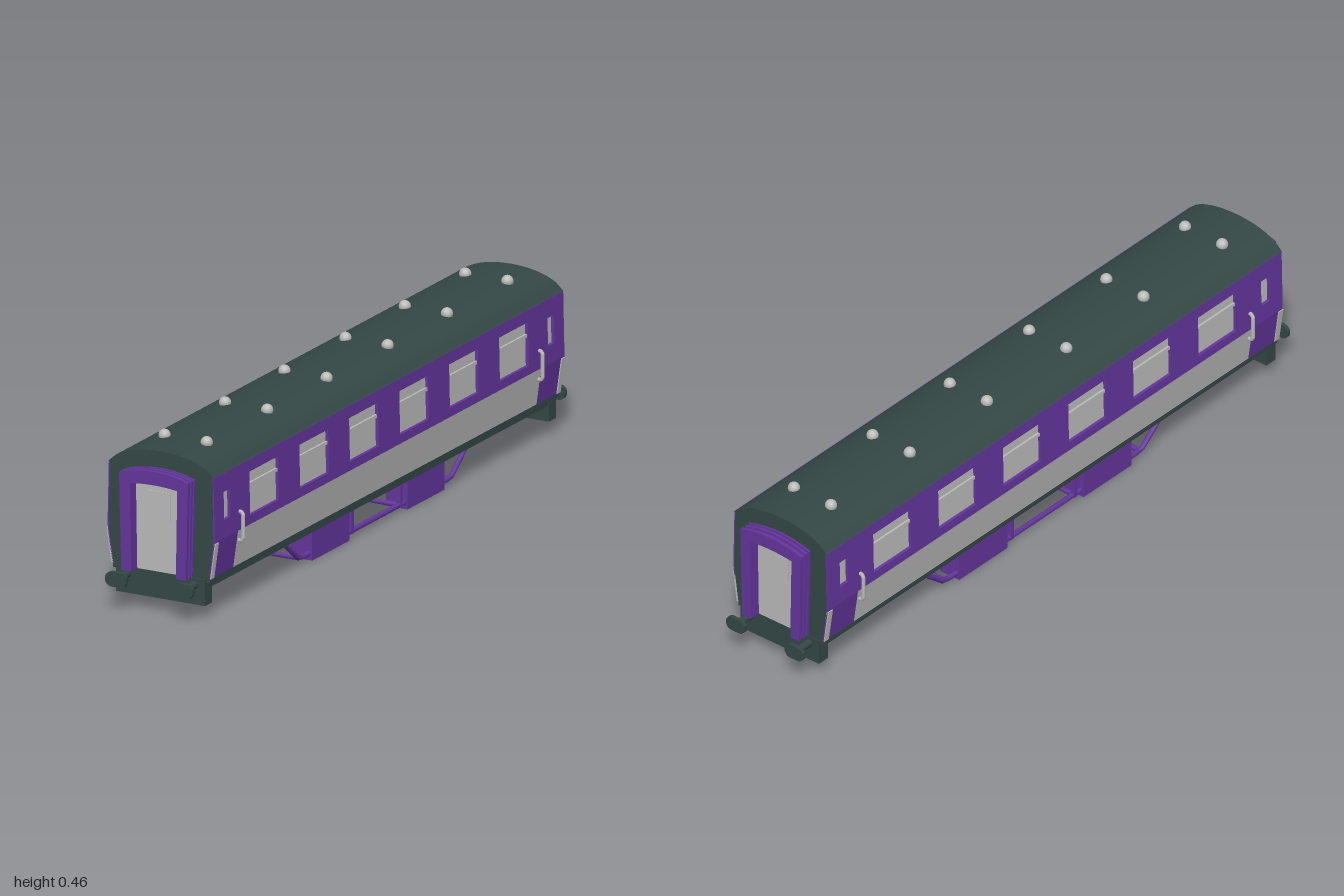
import * as THREE from 'three';
import { toCreasedNormals } from 'three/addons/utils/BufferGeometryUtils.js';

const material = (name, color) => Object.assign(new THREE.MeshStandardMaterial({ color }), { name });

export function createModel() {
  const green = material('dark green', 0x334745);
  const purple = material('purple', 0x63359c);
  const silver = material('silver', 0xbababa);
  const root = new THREE.Group();
  root.name = 'passengerCoach';

  const add = (parent, name, geometry, mat, x = 0, y = 0, z = 0) => {
    const mesh = new THREE.Mesh(geometry, mat);
    mesh.name = name;
    mesh.position.set(x, y, z);
    parent.add(mesh);
    return mesh;
  };
  const box = (parent, name, mat, x0, x1, y0, y1, z0, z1) =>
    add(parent, name, new THREE.BoxGeometry(x1 - x0, y1 - y0, z1 - z0), mat,
      (x0 + x1) / 2, (y0 + y1) / 2, (z0 + z1) / 2);
  const slab = (shape, z0, z1, curveSegments = 12) =>
    new THREE.ExtrudeGeometry(shape, { depth: z1 - z0, bevelEnabled: false, curveSegments }).translate(0, 0, z0);
  // Symmetric polygon from right-hand points listed bottom to top
  const mirrored = pts => new THREE.Shape([
    ...pts.map(([x, y]) => new THREE.Vector2(x, y)),
    ...pts.slice().reverse().map(([x, y]) => new THREE.Vector2(-x, y))]);
  const tube = (parent, name, mat, pts, r) => {
    const path = new THREE.CurvePath();
    const v = pts.map(p => new THREE.Vector3(...p));
    for (let i = 1; i < v.length; i++) path.add(new THREE.LineCurve3(v[i - 1], v[i]));
    return add(parent, name, new THREE.TubeGeometry(path, 40, r, 8), mat);
  };

  // Body core and roof
  add(root, 'bodyCore', slab(mirrored([[0.13, 0.11], [0.145, 0.215], [0.143, 0.395]]), -0.92, 0.92), green);
  const roof = new THREE.Shape();
  roof.moveTo(0.16, 0.393);
  roof.lineTo(0.138, 0.413);
  roof.bezierCurveTo(0.1, 0.436, 0.05, 0.444, 0, 0.444);
  roof.bezierCurveTo(-0.05, 0.444, -0.1, 0.436, -0.138, 0.413);
  roof.lineTo(-0.16, 0.393);
  add(root, 'roof', toCreasedNormals(slab(roof, -0.935, 0.935), 0.5), green);
  for (const z of [-0.803, -0.48, -0.163, 0.163, 0.48, 0.803])
    for (const x of [-0.064, 0.064])
      add(root, 'roofVent', new THREE.SphereGeometry(0.0165, 16, 12), silver, x, 0.443, z);

  // Underframe
  box(root, 'floor', green, -0.132, 0.132, 0.08, 0.109, -0.93, 0.93);
  box(root, 'sill', green, -0.147, 0.147, 0.1, 0.113, -0.932, 0.932);

  // Side wall panels follow this half-width
  const halfWidth = y => y < 0.215 ? 0.148 + (y - 0.11) / 0.105 * 0.015 : 0.163 - (y - 0.215) / 0.18 * 0.004;
  const panel = (parent, name, mat, z0, z1, y0, y1, holes = [], proud = 0, depth = 0.014) => {
    const rect = (a, b, c, d, Type) => new Type([[a, c], [b, c], [b, d], [a, d]].map(p => new THREE.Vector2(...p)));
    const shape = rect(-z1, -z0, y0, y1, THREE.Shape);
    for (const [a, b, c, d] of holes) shape.holes.push(rect(-b, -a, c, d, THREE.Path));
    const geo = slab(shape, -depth, 0).rotateY(Math.PI / 2);
    const p = geo.attributes.position;
    for (let i = 0; i < p.count; i++) p.setX(i, p.getX(i) + halfWidth(p.getY(i)) + proud);
    geo.computeVertexNormals();
    return add(parent, name, geo, mat);
  };

  const windows = [0.667, 0.4, 0.134, -0.134, -0.4, -0.667].map(z => [z - 0.077, z + 0.077, 0.24, 0.36]);
  const doorWindows = [-0.865, 0.865].map(z => [z - 0.017, z + 0.017, 0.265, 0.342]);
  for (const turn of [0, Math.PI]) {
    const side = new THREE.Group();
    side.name = turn ? 'rightSide' : 'leftSide';
    side.rotation.y = turn;
    root.add(side);
    panel(side, 'upperWall', purple, -0.934, 0.934, 0.215, 0.395, [...windows, ...doorWindows]);
    panel(side, 'lowerWall', silver, -0.81, 0.81, 0.112, 0.215);
    for (const [a, b, c, d] of [...windows, ...doorWindows])
      panel(side, 'windowPane', silver, a - 0.004, b + 0.004, c - 0.004, d + 0.004, [], -0.009, 0.003);
    for (const [a, b] of windows)
      panel(side, 'windowBar', silver, a, b, 0.318, 0.327, [], -0.003, 0.008);
    for (const s of [-1, 1]) {
      panel(side, 'doorBottom', purple, Math.min(s * 0.81, s * 0.934), Math.max(s * 0.81, s * 0.934), 0.112, 0.215);
      panel(side, 'cornerStrip', silver, s * 0.925 - 0.009, s * 0.925 + 0.009, 0.112, 0.212, [], 0.003, 0.01);
      tube(side, 'doorHandle', silver, [[0.155, 0.186, s * 0.8], [0.168, 0.186, s * 0.8], [0.173, 0.194, s * 0.8],
        [0.173, 0.258, s * 0.8], [0.168, 0.266, s * 0.8], [0.155, 0.266, s * 0.8]], 0.0055);
    }

    // Truss rod and equipment boxes on each side
    tube(side, 'trussRod', purple, [[0.118, 0.085, 0.49], [0.118, 0.018, 0.405],
      [0.118, 0.018, -0.405], [0.118, 0.085, -0.49]], 0.0075);
    for (const s of [-1, 1]) {
      box(side, 'equipmentBox', purple, 0.063, 0.129, 0, 0.085, s * 0.255 - 0.099, s * 0.255 + 0.099);
      box(side, 'trussPost', purple, 0.111, 0.125, 0.012, 0.085, s * 0.13 - 0.006, s * 0.13 + 0.006);
    }
  }
  for (const z of [-0.4, -0.25, -0.13, 0.13, 0.25, 0.4])
    tube(root, 'crossBar', purple, [[-0.118, 0.018, z], [0.118, 0.018, z]], 0.007);

  // Arched frame of the end gangway
  const arch = inset => {
    const s = new THREE.Shape();
    const i = inset;
    s.moveTo(-0.098 + i, 0.112);
    s.lineTo(-0.105 + i, 0.382 - i);
    s.quadraticCurveTo(0, 0.415 - i, 0.105 - i, 0.382 - i);
    s.lineTo(0.098 - i, 0.112);
    s.lineTo(0.068, 0.112);
    s.lineTo(0.072, 0.356);
    s.quadraticCurveTo(0, 0.366, -0.072, 0.356);
    s.lineTo(-0.068, 0.112);
    return s;
  };

  // Identical ends
  for (const turn of [0, Math.PI]) {
    const end = new THREE.Group();
    end.name = turn ? 'backEnd' : 'frontEnd';
    end.rotation.y = turn;
    root.add(end);
    add(end, 'endWall', slab(mirrored([[0.144, 0.11], [0.1585, 0.215], [0.155, 0.394]]), 0.91, 0.935), green);
    add(end, 'gangwayBellows', slab(arch(0.01), 0.934, 0.968), purple);
    for (const [z0, z1] of [[0.934, 0.941], [0.948, 0.956], [0.964, 0.975]])
      add(end, 'gangwayRib', slab(arch(0), z0, z1), purple);
    box(end, 'endDoor', silver, -0.073, 0.073, 0.112, 0.362, 0.93, 0.942);
    box(end, 'endDoorWindow', silver, -0.035, 0.035, 0.257, 0.335, 0.94, 0.945);
    box(end, 'bufferBeam', green, -0.135, 0.135, 0.037, 0.109, 0.9, 0.937);

    // Buffers with wide rounded heads
    for (const x of [-0.101, 0.101]) {
      const head = new THREE.Shape();
      head.absarc(-0.012, 0, 0.0205, Math.PI / 2, Math.PI * 1.5);
      head.absarc(0.012, 0, 0.0205, -Math.PI / 2, Math.PI / 2);
      add(end, 'bufferHead', toCreasedNormals(slab(head, 0.989, 1), 0.6), green, x, 0.09, 0);
      add(end, 'bufferStem', new THREE.CylinderGeometry(0.009, 0.012, 0.06, 16).rotateX(Math.PI / 2), green, x, 0.09, 0.961);
    }
  }
  return root;
}
